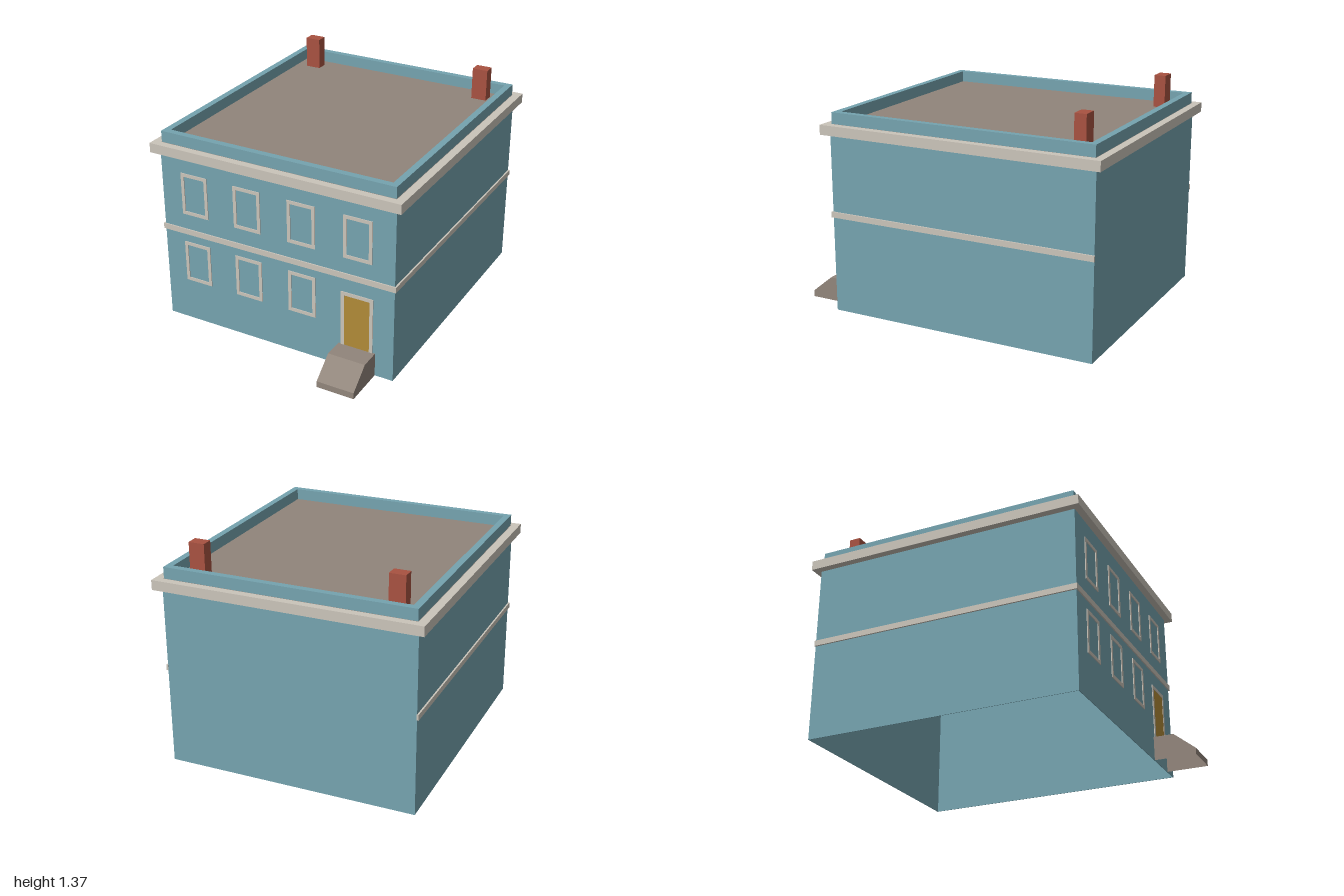
import * as THREE from 'three';

const mat = (name, color, side = THREE.FrontSide) => {
  const m = new THREE.MeshStandardMaterial({ color, side });
  m.name = name;
  return m;
};

export function createModel() {
  const house = new THREE.Group();
  house.name = 'townHouse';
  const teal = mat('teal wall', 0x75a3af);
  const cream = mat('cream trim', 0xcac4ba);
  const brown = mat('brown stone', 0x91857b, THREE.DoubleSide);
  const ochre = mat('ochre door', 0xb08a38);
  const brick = mat('red brick', 0xa85241);

  const midZ = -0.109; // centre of the house body
  const halfX = 0.775, halfZ = 0.849; // wall half sizes
  const frontZ = midZ + halfZ;

  const add = (name, geometry, material, parent = house) => {
    const mesh = new THREE.Mesh(geometry, material);
    mesh.name = name;
    parent.add(mesh);
    return mesh;
  };
  const box = (name, material, [x0, x1], [y0, y1], [z0, z1], parent) => {
    const mesh = add(name, new THREE.BoxGeometry(x1 - x0, y1 - y0, z1 - z0), material, parent);
    mesh.position.set((x0 + x1) / 2, (y0 + y1) / 2, (z0 + z1) / 2);
    return mesh;
  };
  const rect = (path, x0, y0, x1, y1) =>
    path.moveTo(x0, y0).lineTo(x1, y0).lineTo(x1, y1).lineTo(x0, y1).closePath();

  // Rectangular ring around the house, open above and below
  const ring = (name, material, hx, hz, ix, iz, y0, y1) => {
    const shape = rect(new THREE.Shape(), -hx, -hz, hx, hz);
    shape.holes.push(rect(new THREE.Path(), -ix, -iz, ix, iz));
    const g = new THREE.ExtrudeGeometry(shape, { depth: y1 - y0, bevelEnabled: false });
    g.rotateX(-Math.PI / 2).translate(0, y0, midZ);
    return add(name, g, material);
  };
  ring('walls', teal, halfX, halfZ, halfX - 0.004, halfZ - 0.004, 0, 1.115);
  ring('cornice', cream, 0.82, 0.891, halfX - 0.005, halfZ - 0.005, 1.11, 1.17);
  ring('parapet', teal, 0.767, 0.841, 0.726, 0.8, 1.17, 1.24);

  // Flat roof deck
  const roof = add('roof', new THREE.PlaneGeometry(2 * halfX, 2 * halfZ).rotateX(-Math.PI / 2), brown);
  roof.position.set(0, 1.169, midZ);

  // Storey band on the front and both sides
  const bandY = [0.597, 0.632];
  box('frontBand', cream, [-0.785, 0.785], bandY, [frontZ - 0.002, frontZ + 0.008]);
  for (const s of [-1, 1]) {
    const x = s < 0 ? [-0.785, -0.773] : [0.773, 0.785];
    box(s < 0 ? 'rightBand' : 'leftBand', cream, x, bandY, [midZ - halfZ - 0.003, frontZ]);
    // Chimney
    box(s < 0 ? 'rightChimney' : 'leftChimney', brick,
      [s * 0.607 - 0.049, s * 0.607 + 0.049], [1.17, 1.37], [-0.845, -0.773]);
  }

  // Thin window and door frames on the front
  const frame = (name, x0, y0, x1, y1, t, bottom = t) => {
    const shape = rect(new THREE.Shape(), x0, y0, x1, y1);
    shape.holes.push(rect(new THREE.Path(), x0 + t, y0 + bottom, x1 - t, y1 - t));
    const g = new THREE.ExtrudeGeometry(shape, { depth: 0.005, bevelEnabled: false });
    add(name, g.translate(0, 0, frontZ), cream);
  };
  for (const [row, y0, y1] of [['upper', 0.732, 1.002], ['lower', 0.275, 0.543]]) {
    for (let i = 0; i < (row === 'upper' ? 4 : 3); i++) {
      const x = -0.547 + i * 0.363;
      frame(`${row}WindowFrame${i + 1}`, x - 0.091, y0, x + 0.091, y1, 0.021);
    }
  }
  frame('doorFrame', 0.437, 0.12, 0.643, 0.507, 0.022, 0.005);
  box('door', ochre, [0.459, 0.621], [0.125, 0.485], [frontZ, frontZ + 0.003]);

  // Front stoop: hollow shell with a sloping face, open below
  const stoop = new THREE.Group();
  stoop.name = 'stoop';
  house.add(stoop);
  const profile = [[1, 0], [1, 0.04], [0.866, 0.15], [frontZ, 0.15]]; // z, y
  const [sx0, sx1] = [0.421, 0.659];
  const pos = [];
  for (let i = 0; i < 3; i++) {
    const [[za, ya], [zb, yb]] = [profile[i], profile[i + 1]];
    pos.push(sx0, ya, za, sx1, ya, za, sx1, yb, zb, sx0, ya, za, sx1, yb, zb, sx0, yb, zb);
  }
  const treads = new THREE.BufferGeometry();
  treads.setAttribute('position', new THREE.Float32BufferAttribute(pos, 3));
  treads.computeVertexNormals();
  add('stoopSlope', treads, brown, stoop);
  const side = new THREE.Shape([...profile, [frontZ, 0]].map(([z, y]) => new THREE.Vector2(-z, y)));
  // Shape x runs along -z, so its face looks towards +x
  const sideGeo = new THREE.ShapeGeometry(side).rotateY(Math.PI / 2);
  add('stoopLeftSide', sideGeo, brown, stoop).position.x = sx1;
  const rightGeo = new THREE.ShapeGeometry(
    new THREE.Shape([...profile, [frontZ, 0]].map(([z, y]) => new THREE.Vector2(z, y)))).rotateY(-Math.PI / 2);
  add('stoopRightSide', rightGeo, brown, stoop).position.x = sx0;

  return house;
}
